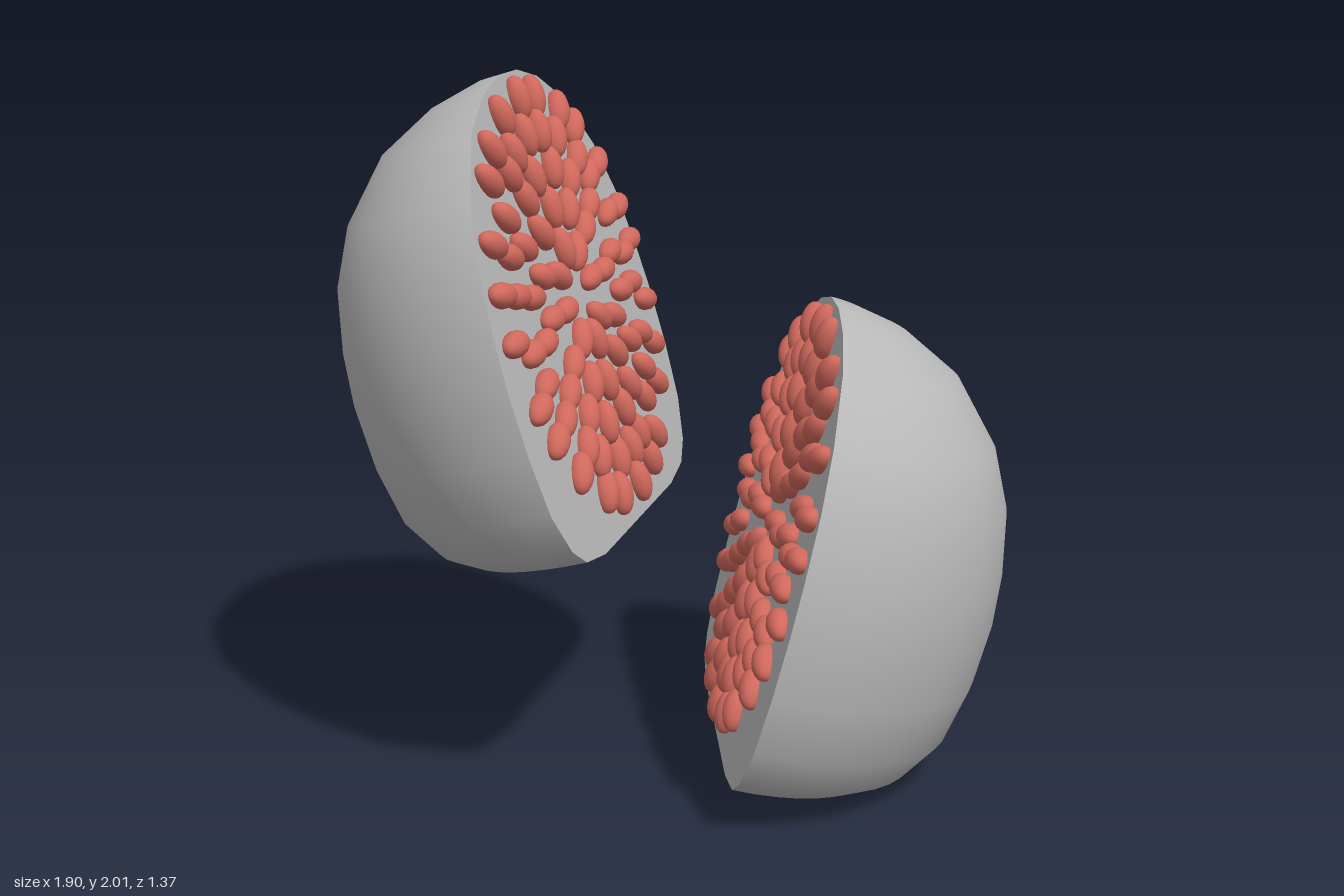
import * as THREE from 'three';

// Outline of the fruit from base to crown: [radius, height]
const PROFILE = [
  [0, 0], [0.35, 0], [0.5, 0.025], [0.58, 0.08], [0.65, 0.2], [0.68, 0.37],
  [0.685, 0.55], [0.67, 0.7], [0.63, 0.88], [0.55, 1.04], [0.4, 1.2],
  [0.23, 1.285], [0.08, 1.32], [0, 1.32],
].map(([r, h]) => new THREE.Vector2(r, h));

// Rings of seeds: [radius, count, starting angle]
const RINGS = [
  [0.14, 8, 0.15], [0.26, 12, 0.1], [0.37, 16, 0.2], [0.475, 24, 0.1], [0.575, 24, 0.06],
];
const SEED_CENTRE = 0.67;

export function createModel() {
  const skin = new THREE.MeshStandardMaterial({ color: 0xb8b8b8 });
  skin.name = 'grey flesh';
  const red = new THREE.MeshStandardMaterial({ color: 0xd0685c });
  red.name = 'seed red';

  // Rounded shell on the -x side, flat cut face towards +x
  const shellGeo = new THREE.LatheGeometry(PROFILE, 24, Math.PI, Math.PI);
  const outline = [...PROFILE, ...PROFILE.slice(1, -1).reverse().map((p) => new THREE.Vector2(-p.x, p.y))];
  const faceGeo = new THREE.ShapeGeometry(new THREE.Shape(outline)).rotateY(Math.PI / 2);
  const seedGeo = new THREE.SphereGeometry(1, 14, 10).scale(0.036, 0.064, 0.036);

  function makeHalf(name) {
    const half = new THREE.Group();
    half.name = name;
    const shell = new THREE.Mesh(shellGeo, skin);
    shell.name = 'shell';
    const face = new THREE.Mesh(faceGeo, skin);
    face.name = 'cutFace';
    const seeds = new THREE.Group();
    seeds.name = 'seeds';

    // Seeds radiate from the centre of the cut face
    for (const [radius, count, start] of RINGS) {
      for (let i = 0; i < count; i++) {
        const a = start + (i / count) * Math.PI * 2 + 0.04 * Math.sin(i * 2.3 + radius * 40);
        const seed = new THREE.Mesh(seedGeo, red);
        seed.name = 'seed';
        seed.position.set(0.014, SEED_CENTRE + Math.cos(a) * radius, Math.sin(a) * radius);
        seed.rotation.x = a;
        seeds.add(seed);
      }
    }
    half.add(shell, face, seeds);
    return half;
  }

  const model = new THREE.Group();
  model.name = 'splitFruit';

  // Upper half leans to -x, lower half leans to +x, cut faces turned inwards
  const upper = new THREE.Group();
  upper.name = 'upperHalf';
  upper.add(makeHalf('upperHalfBody'));
  upper.position.set(-0.1, 0.738, 0.025);
  upper.rotation.set(0, -0.16, 0.29);

  const lower = new THREE.Group();
  lower.name = 'lowerHalf';
  const lowerBody = makeHalf('lowerHalfBody');
  lowerBody.rotation.y = Math.PI;
  lower.add(lowerBody);
  lower.position.set(0.12, 0.092, 0.02);
  lower.rotation.set(0, 0.16, -0.255);

  model.add(upper, lower);
  return model;
}
